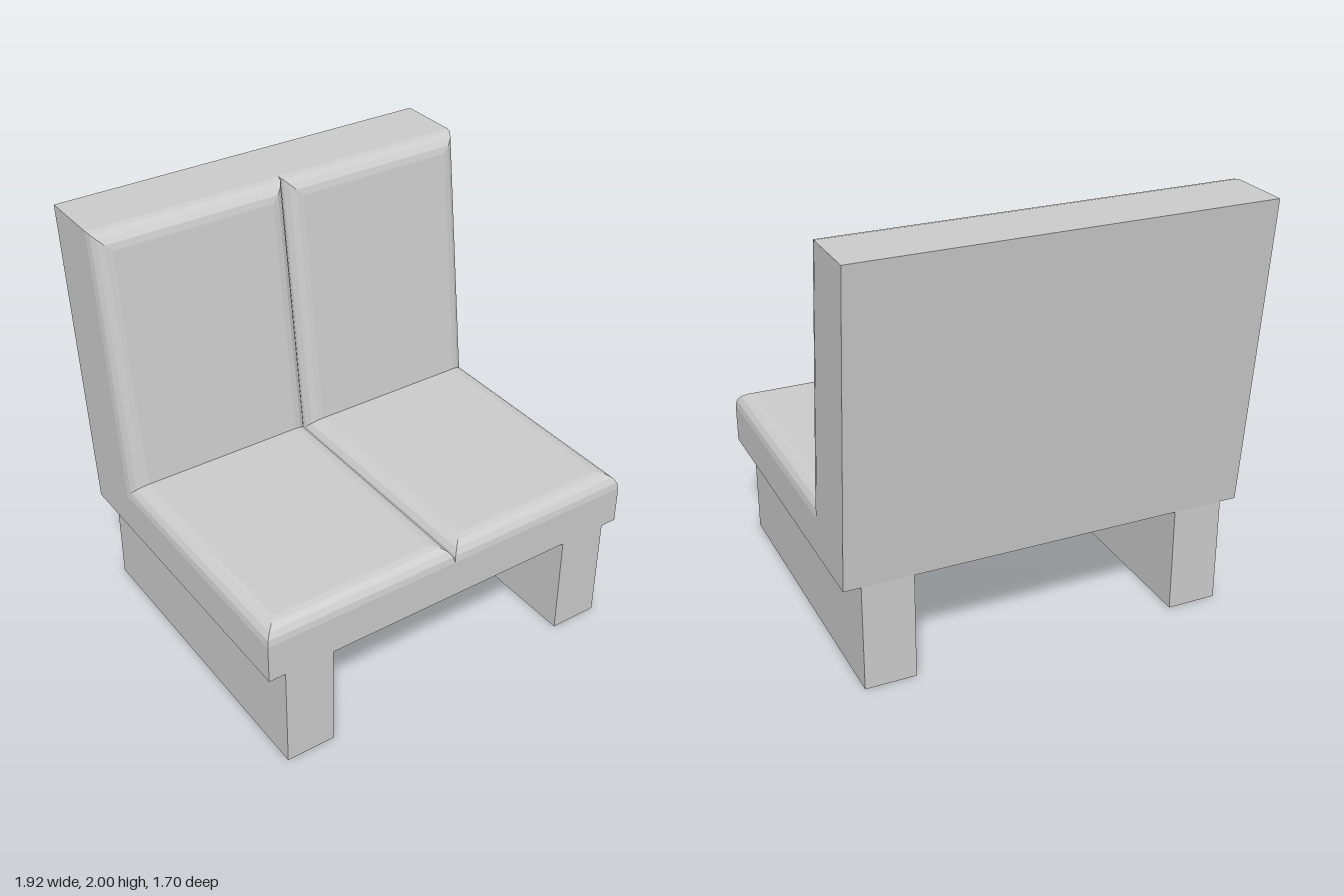
import * as THREE from 'three';

const HALF = 0.96;      // half width of the bench
const R = 0.08;         // edge rounding of the cushions
const STEPS = 4;        // facets in each rounded edge
const material = new THREE.MeshStandardMaterial({ color: 0xcccccc, flatShading: true });

function addMesh(group, name, geometry) {
  const mesh = new THREE.Mesh(geometry, material);
  mesh.name = name;
  group.add(mesh);
  return mesh;
}

// Stacks shrinking four-cornered rings into a pad with three rounded edges.
// The side between corners 0 and 1 stays open: there seat and back pads meet.
function padGeometry(ringAt) {
  const rings = [];
  for (let i = 0; i <= STEPS; i++) {
    const a = (i / STEPS) * Math.PI / 2;
    rings.push(ringAt(Math.sin(a), R * (1 - Math.cos(a))));
  }
  const positions = [];
  const quad = (a, b, c, d) => positions.push(...a, ...b, ...c, ...a, ...c, ...d);
  for (let i = 0; i < STEPS; i++) {
    const lo = rings[i], hi = rings[i + 1];
    for (let k = 1; k < 4; k++) {
      const n = (k + 1) % 4;
      quad(lo[k], lo[n], hi[n], hi[k]);
    }
  }
  quad(...rings[STEPS]);
  const geometry = new THREE.BufferGeometry();
  geometry.setAttribute('position', new THREE.Float32BufferAttribute(positions, 3));
  geometry.computeVertexNormals();
  return geometry;
}

export function createModel() {
  const model = new THREE.Group();
  model.name = 'bench';

  // L-shaped body, drawn as a side profile (z, y) and extruded across the width
  const profile = [
    [0.85, 0.513], [0.85, 0.7], [-0.385, 0.7],
    [-0.54, 2], [-0.845, 2], [-0.695, 0.513],
  ].map(([z, y]) => new THREE.Vector2(z, y));
  const body = new THREE.ExtrudeGeometry(new THREE.Shape(profile), { depth: 2 * HALF, bevelEnabled: false });
  body.translate(0, 0, -HALF).rotateY(-Math.PI / 2);
  addMesh(model, 'body', body);

  for (const [side, x0, x1] of [['right', -HALF, 0], ['left', 0, HALF]]) {
    // Seat cushion, rounded at the front and both sides
    addMesh(model, side + 'SeatCushion', padGeometry((t, inset) => {
      const y = 0.7 + R * t, back = -0.385 + 0.075 * t, front = 0.85 - inset;
      return [
        [x1 - inset, y, back], [x0 + inset, y, back],
        [x0 + inset, y, front], [x1 - inset, y, front],
      ];
    }));

    // Back cushion, leaning back, rounded at the top and both sides
    addMesh(model, side + 'BackCushion', padGeometry((t, inset) => {
      const bottom = 0.7 + R * t, zBottom = -0.385 + 0.075 * t;
      const top = 2 - inset, zTop = -0.54 + 0.075 * t + 0.12 * inset;
      return [
        [x0 + inset, bottom, zBottom], [x1 - inset, bottom, zBottom],
        [x1 - inset, top, zTop], [x0 + inset, top, zTop],
      ];
    }));

    // Slab leg running front to back
    const leg = addMesh(model, side + 'Leg', new THREE.BoxGeometry(0.24, 0.513, 1.545));
    leg.position.set(side === 'left' ? 0.76 : -0.76, 0.2565, 0.0775);
  }

  return model;
}
